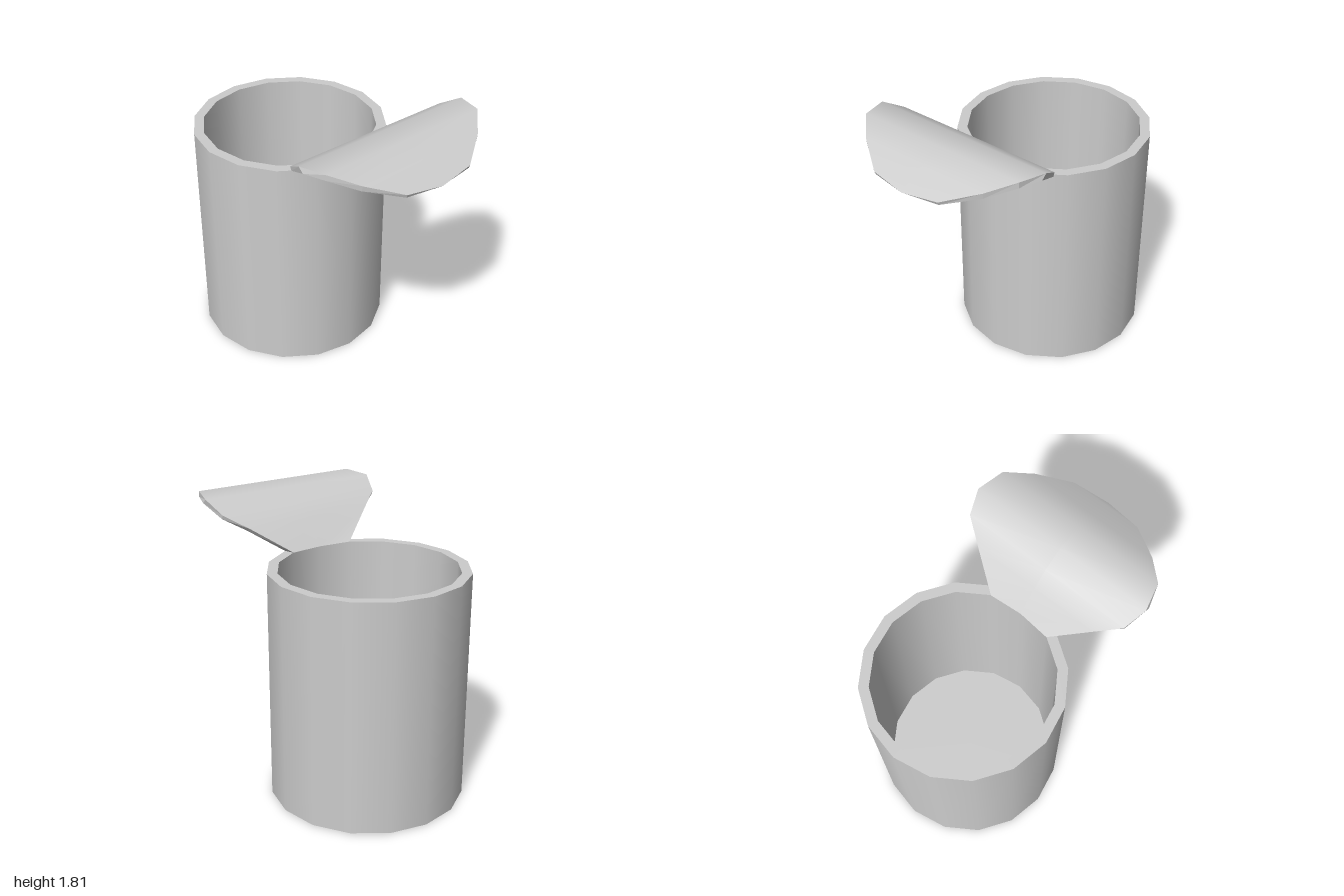
import * as THREE from 'three';

const SIDES = 16, CX = -0.378, R = 0.622, R_IN = 0.558, H = 1.475, FLOOR = 0.06;

// Lid stations from hinge to tip: [x at the edges, y, half width, x at the middle]
const LID_TOP = [
  [0.135, 1.475, 0.215, 0.155], [0.285, 1.63, 0.44], [0.38, 1.715, 0.577],
  [0.515, 1.795, 0.622], [0.69, 1.807, 0.577], [0.83, 1.75, 0.44],
  [0.968, 1.68, 0.24], [1.0, 1.658, 0],
];
const LID_BOTTOM = [
  [0.197, 1.475, 0.24, 0.244], [0.31, 1.61, 0.44], [0.39, 1.69, 0.577],
  [0.55, 1.765, 0.622], [0.69, 1.77, 0.577], [0.825, 1.715, 0.44],
  [0.96, 1.66, 0.24], [0.99, 1.65, 0],
];

// Surface through rows of points; flip reverses the facing side
function surface(rows, { flip = false, flat = false } = {}) {
  const n = rows[0].length, index = [];
  for (let i = 0; i < rows.length - 1; i++) {
    for (let j = 0; j < n - 1; j++) {
      const a = i * n + j, b = a + 1, d = a + n, c = d + 1;
      if (flip) index.push(a, c, b, a, d, c);
      else index.push(a, b, c, a, c, d);
    }
  }
  let g = new THREE.BufferGeometry();
  g.setAttribute('position', new THREE.Float32BufferAttribute(rows.flat(2), 3));
  g.setIndex(index);
  if (flat) g = g.toNonIndexed();
  g.computeVertexNormals();
  return g;
}

const lidRows = (stations) =>
  stations.map(([x, y, z, mid = x]) => [[x, y, -z], [mid, y, 0], [x, y, z]]);

// Outline of a lid face: along one side to the tip, back along the other, across the hinge
function outline(rows) {
  const back = rows.map((r) => r[0]);
  const front = rows.slice(0, -1).map((r) => r[2]).reverse();
  return [...back, ...front, rows[0][1], rows[0][0]];
}

export function createModel() {
  const model = new THREE.Group();
  const metal = new THREE.MeshStandardMaterial({ color: 0xcccccc });
  metal.name = 'grey metal';
  const inner = new THREE.MeshStandardMaterial({ color: 0xcccccc, side: THREE.BackSide });
  inner.name = 'grey metal inside';

  const add = (parent, name, geometry, material = metal) => {
    const mesh = new THREE.Mesh(geometry, material);
    mesh.name = name;
    parent.add(mesh);
    return mesh;
  };

  // Can body: outer wall, inner wall, rim, floor and base
  const can = new THREE.Group();
  can.name = 'can';
  can.position.x = CX;
  model.add(can);
  add(can, 'outerWall', new THREE.CylinderGeometry(R, R, H, SIDES, 1, true)).position.y = H / 2;
  const depth = H - FLOOR;
  add(can, 'innerWall', new THREE.CylinderGeometry(R_IN, R_IN, depth, SIDES, 1, true), inner)
    .position.y = FLOOR + depth / 2;
  add(can, 'rim', new THREE.RingGeometry(R_IN, R, SIDES, 1).rotateX(-Math.PI / 2)).position.y = H;
  add(can, 'floor', new THREE.CircleGeometry(R_IN, SIDES).rotateX(-Math.PI / 2)).position.y = FLOOR;
  add(can, 'base', new THREE.CircleGeometry(R, SIDES).rotateX(Math.PI / 2));

  // Lid: a thin disc curled open from the rim
  const lid = new THREE.Group();
  lid.name = 'lid';
  model.add(lid);
  const top = lidRows(LID_TOP), bottom = lidRows(LID_BOTTOM);
  add(lid, 'lidTop', surface(top));
  add(lid, 'lidUnderside', surface(bottom, { flip: true }));
  add(lid, 'lidEdge', surface([outline(top), outline(bottom)], { flat: true }));

  return model;
}
